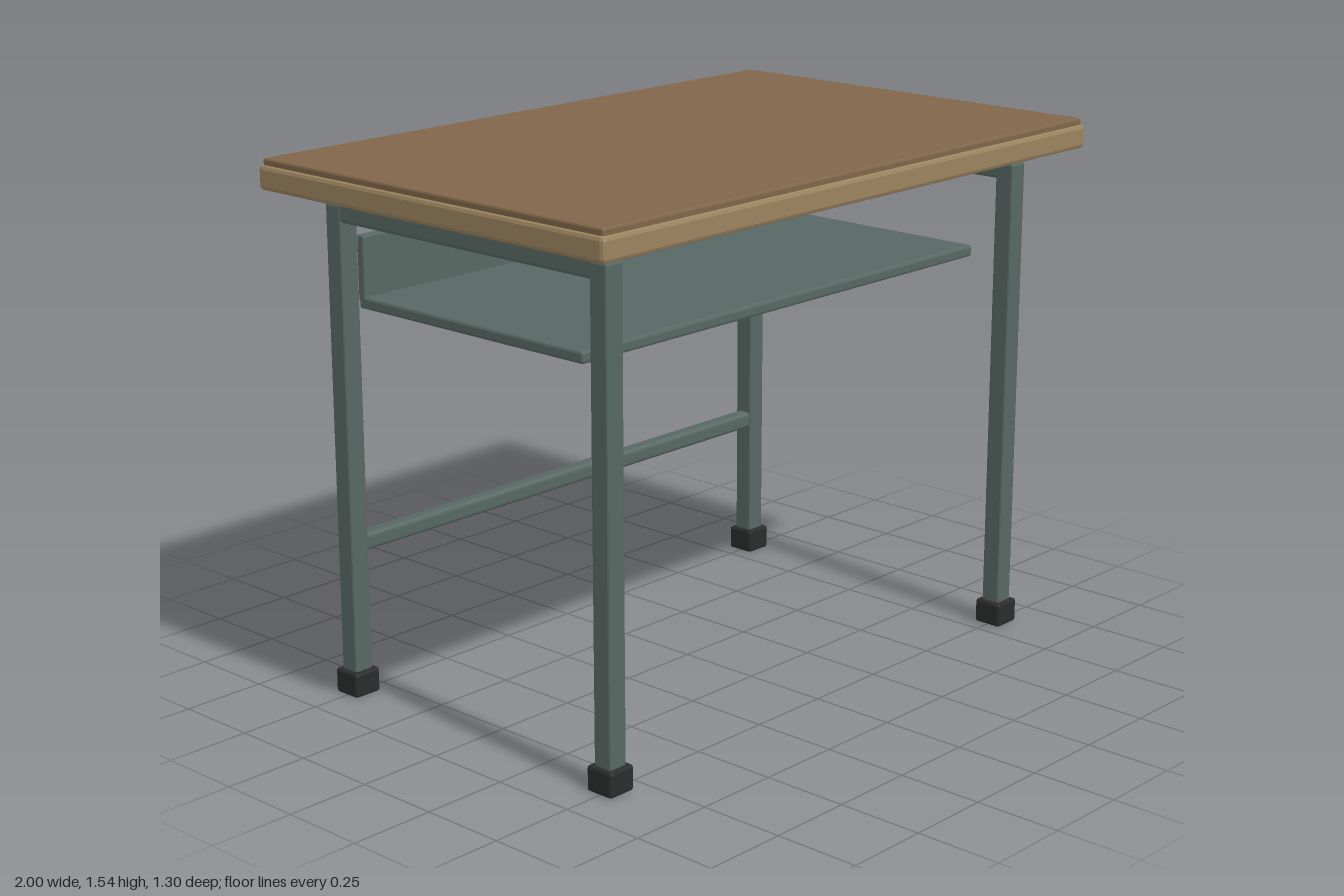
import * as THREE from 'three';
import { RoundedBoxGeometry } from 'three/addons/geometries/RoundedBoxGeometry.js';

const material = (color) => new THREE.MeshStandardMaterial({ color, flatShading: true });

export function createModel() {
  const desk = new THREE.Group();
  desk.name = 'desk';
  const edgeWood = material(0x9c8460);
  const topWood = material(0x80664a);
  const steel = material(0x586863);
  const rubber = material(0x2a2c2b);

  // Bevelled box given by its min and max on each axis
  function box(name, mat, [x0, x1], [y0, y1], [z0, z1], bevel = 0.006, segments = 1) {
    const geometry = new RoundedBoxGeometry(x1 - x0, y1 - y0, z1 - z0, segments, bevel);
    const mesh = new THREE.Mesh(geometry, mat);
    mesh.name = name;
    mesh.position.set((x0 + x1) / 2, (y0 + y1) / 2, (z0 + z1) / 2);
    desk.add(mesh);
  }
  const around = (centre, half) => [centre - half, centre + half];

  // Desktop: thick slab with a thin surface sheet
  box('desktopSlab', edgeWood, [-1, 1], [1.457, 1.527], [-0.648, 0.648], 0.012);
  box('desktopSurface', topWood, [-0.99, 0.99], [1.505, 1.545], [-0.638, 0.638], 0.006);

  // Side frames: two legs with feet, joined by a top rail
  for (const side of [-1, 1]) {
    const x = side * 0.84;
    const sideName = side > 0 ? 'left' : 'right';
    for (const end of [-1, 1]) {
      const z = end * 0.5;
      const name = sideName + (end > 0 ? 'Front' : 'Back');
      box(name + 'Leg', steel, around(x, 0.03), [0.03, 1.42], around(z, 0.03));
      box(name + 'Foot', rubber, around(x, 0.044), [0, 0.073], around(z, 0.044), 0.008);
    }
    box(sideName + 'TopRail', steel, around(x, 0.028), [1.37, 1.434], [-0.52, 0.52], 0.01);
  }

  // Book shelf with its back panel
  box('shelf', steel, [-0.815, 0.815], [1.125, 1.16], [-0.468, 0.39], 0.008);
  box('backPanel', steel, [-0.815, 0.815], [1.145, 1.332], [-0.47, -0.442], 0.006);

  // Rear stretcher between the back legs
  box('rearStretcher', steel, [-0.825, 0.825], [0.42, 0.47], around(-0.5, 0.025), 0.012, 2);

  return desk;
}
